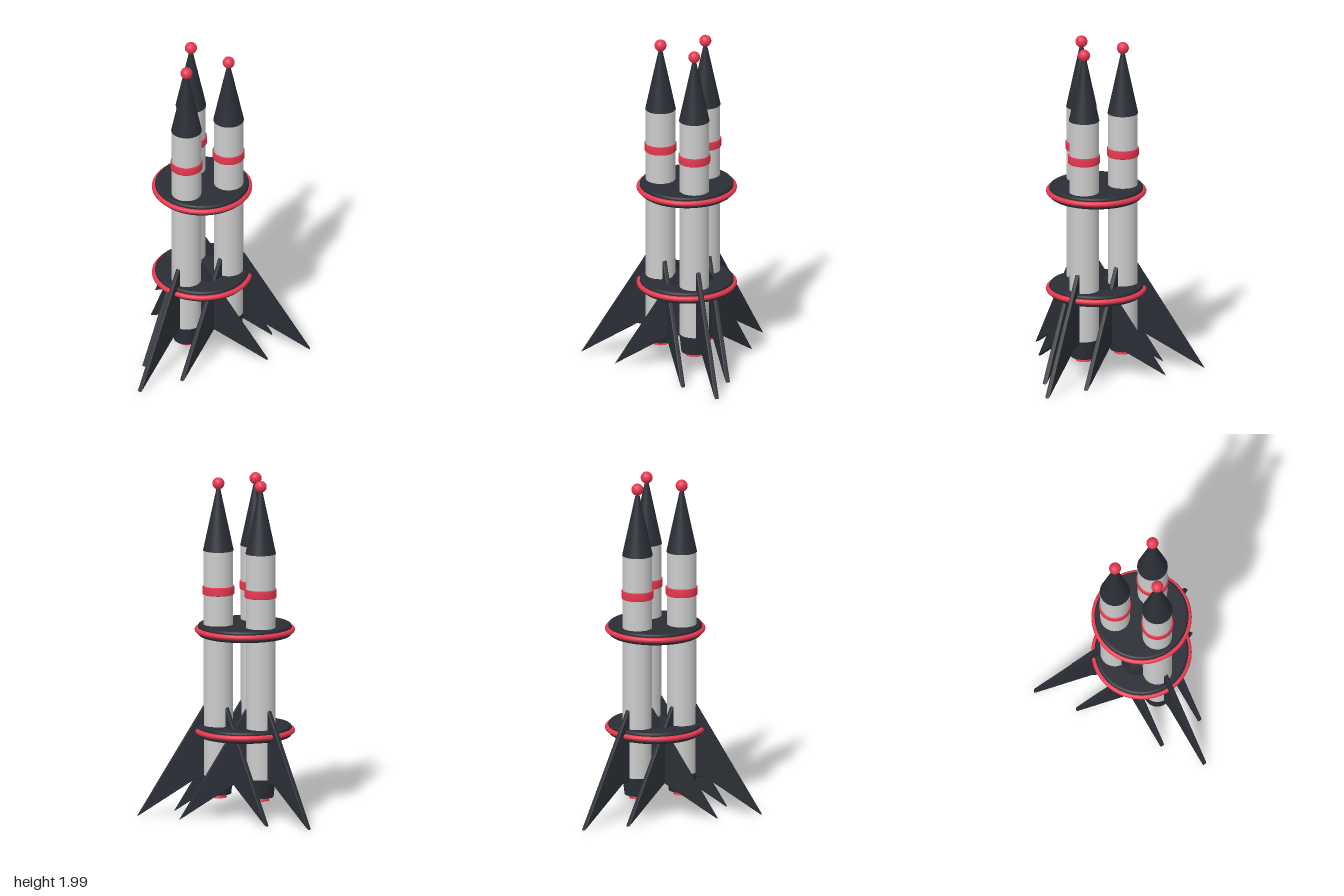
import * as THREE from 'three';

const material = (color) => new THREE.MeshStandardMaterial({ color });

export function createModel() {
  const grey = material(0xcccccc), dark = material(0x2a2e35), red = material(0xe8384f);
  const model = new THREE.Group();
  model.name = 'rocketCluster';

  const add = (parent, name, geometry, mat, y = 0) => {
    const mesh = new THREE.Mesh(geometry, mat);
    mesh.name = name;
    mesh.position.y = y;
    parent.add(mesh);
    return mesh;
  };
  const tube = (top, bottom, height) => new THREE.CylinderGeometry(top, bottom, height, 48);

  // Swept fin drawn in the radius/height plane, with rounded edges
  const bevel = 0.006;
  const outline = new THREE.Shape([
    [0.06, 0.645], [0.085, 0.645], [0.468, 0.014], [0.14, 0.225], [0.06, 0.225],
  ].map(([x, y]) => new THREE.Vector2(x, y)));
  const finGeometry = new THREE.ExtrudeGeometry(outline, {
    depth: 0.014, bevelEnabled: true, bevelSize: bevel, bevelThickness: bevel, bevelSegments: 3,
  });
  finGeometry.translate(0, 0, -0.007);

  // Band with softly rounded edges
  const bandGeometry = new THREE.LatheGeometry([
    [0.083, -0.025], [0.09, -0.025], [0.093, -0.021], [0.093, 0.021], [0.09, 0.025], [0.083, 0.025],
  ].map(([x, y]) => new THREE.Vector2(x, y)), 48);

  // Three identical rockets in a triangle
  for (const [x, z] of [[0, 0], [-0.134, -0.235], [0.134, -0.235]]) {
    const rocket = new THREE.Group();
    rocket.name = 'rocket';
    rocket.position.set(x, 0, z);
    add(rocket, 'body', tube(0.086, 0.086, 1.335), grey, 0.9075);
    add(rocket, 'noseCone', tube(0.008, 0.089, 0.38), dark, 1.76);
    add(rocket, 'noseBall', new THREE.SphereGeometry(0.035, 32, 20), red, 1.965);
    add(rocket, 'band', bandGeometry, red, 1.336);
    add(rocket, 'tail', tube(0.087, 0.075, 0.11), dark, 0.187);
    add(rocket, 'nozzle', tube(0.042, 0.05, 0.04), red, 0.13);
    for (let i = 0; i < 3; i++) {
      add(rocket, 'fin', finGeometry, dark).rotation.y = -Math.PI / 2 + (i * Math.PI * 2) / 3;
    }
    model.add(rocket);
  }

  // Two round platforms tying the rockets together, each with a red rim
  const plateProfile = [new THREE.Vector2(0, -0.034)];
  const edge = 0.015;
  for (const [y, start] of [[-0.019, -Math.PI / 2], [0.019, 0]]) {
    for (let i = 0; i <= 4; i++) {
      const a = start + (i / 4) * Math.PI / 2;
      plateProfile.push(new THREE.Vector2(0.258 + edge * Math.cos(a), y + edge * Math.sin(a)));
    }
  }
  plateProfile.push(new THREE.Vector2(0, 0.034));
  const plateGeometry = new THREE.LatheGeometry(plateProfile, 72);
  const rimGeometry = new THREE.TorusGeometry(0.277, 0.015, 16, 72).rotateX(Math.PI / 2);
  for (const y of [0.503, 1.099]) {
    const platform = new THREE.Group();
    platform.name = 'platform';
    platform.position.set(0, y, -0.157);
    add(platform, 'plate', plateGeometry, dark);
    add(platform, 'rim', rimGeometry, red);
    model.add(platform);
  }
  return model;
}
